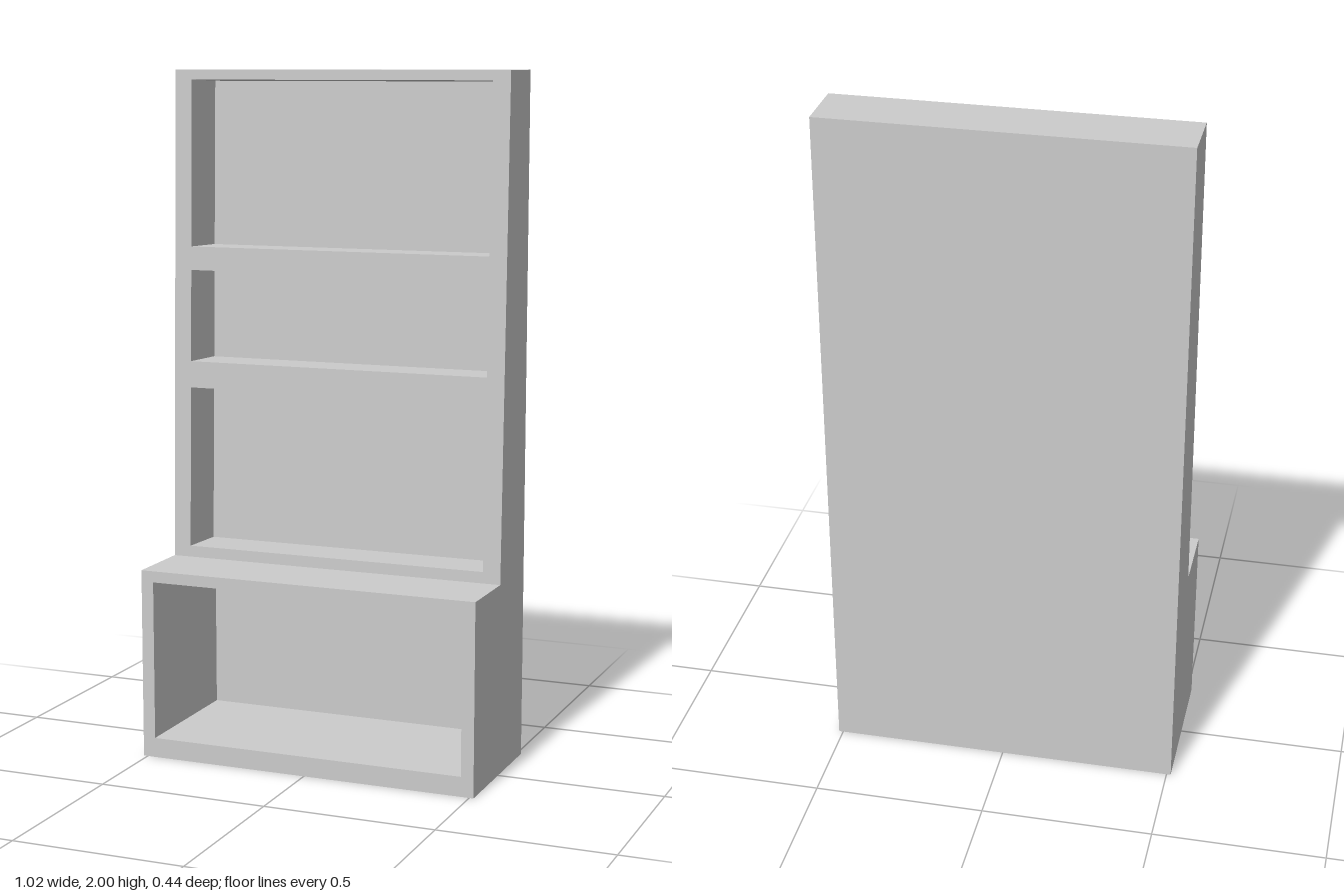
import * as THREE from 'three';

const W = 1.025, H = 2, LEDGE = 0.56;             // overall width, height, ledge height
const FRONT = 0.219, BACK = -0.219;               // base front and back planes
const FACE_LOW = 0, FACE_TOP = -0.041;            // leaning upper face, bottom and top
const material = new THREE.MeshStandardMaterial({ color: 0xcccccc });

function add(parent, name, geometry) {
  const mesh = new THREE.Mesh(geometry, material);
  mesh.name = name;
  parent.add(mesh);
  return mesh;
}

// Flat panel facing +z, from y = 0 to height, with rectangular openings
function frontPanel(height, openings) {
  const rect = (target, hw, y0, y1) => target
    .moveTo(-hw, y0).lineTo(hw, y0).lineTo(hw, y1).lineTo(-hw, y1).closePath();
  const shape = rect(new THREE.Shape(), W / 2, 0, height);
  for (const o of openings) shape.holes.push(rect(new THREE.Path(), o.hw, o.y0, o.y1));
  return new THREE.ShapeGeometry(shape);
}

// Inside-out box without its front, mouth at z = 0
function nicheGeometry({ hw, y0, y1, depth }) {
  const box = new THREE.BoxGeometry(hw * 2, y1 - y0, depth);
  const index = Array.from(box.index.array);
  index.splice(24, 6);                            // drop the +z side
  box.setIndex(index.reverse());                  // turn faces inward
  box.clearGroups();
  box.computeVertexNormals();
  return box.translate(0, (y0 + y1) / 2, -depth / 2);
}

// A framed face with its recessed niches
function framedFace(name, height, openings) {
  const group = new THREE.Group();
  group.name = name;
  add(group, name + 'Frame', frontPanel(height, openings));
  openings.forEach((o, i) => add(group, name + 'Niche' + (i + 1), nicheGeometry(o)));
  return group;
}

export function createModel() {
  const model = new THREE.Group();
  model.name = 'shelfUnit';

  // Base cabinet front with one deep open compartment
  const base = framedFace('base', LEDGE, [{ hw: 0.475, y0: 0.058, y1: 0.527, depth: 0.425 }]);
  base.position.z = FRONT;
  model.add(base);

  // Leaning upper face with three shelves
  const rise = H - LEDGE, lean = FACE_LOW - FACE_TOP;
  const shelves = [[0.593, 1.07], [1.148, 1.418], [1.487, 1.972]].map(([a, b]) => (
    { hw: 0.46, y0: a - LEDGE, y1: b - LEDGE, depth: 0.16 }));
  const upper = framedFace('upper', Math.hypot(rise, lean), shelves);
  upper.position.set(0, LEDGE, FACE_LOW);
  upper.rotation.x = -Math.atan2(lean, rise);
  model.add(upper);

  // Stepped side walls, drawn in (-z, y) for the +x side
  const profile = new THREE.Shape([
    [-FRONT, 0], [-BACK, 0], [-BACK, H], [-FACE_TOP, H], [-FACE_LOW, LEDGE], [-FRONT, LEDGE],
  ].map(([x, y]) => new THREE.Vector2(x, y)));
  const mirrored = new THREE.Shape(profile.getPoints().map((p) => new THREE.Vector2(-p.x, p.y)));
  add(model, 'leftSide', new THREE.ShapeGeometry(profile).rotateY(Math.PI / 2).translate(W / 2, 0, 0));
  add(model, 'rightSide', new THREE.ShapeGeometry(mirrored).rotateY(-Math.PI / 2).translate(-W / 2, 0, 0));

  // Back, and the horizontal panels
  add(model, 'back', new THREE.PlaneGeometry(W, H).rotateY(Math.PI).translate(0, H / 2, BACK));
  const flat = (name, y, z0, z1, dir) => add(model, name,
    new THREE.PlaneGeometry(W, z1 - z0).rotateX(-dir * Math.PI / 2).translate(0, y, (z0 + z1) / 2));
  flat('top', H, BACK, FACE_TOP, 1);
  flat('ledge', LEDGE, FACE_LOW, FRONT, 1);
  flat('bottom', 0, BACK, FRONT, -1);

  return model;
}
